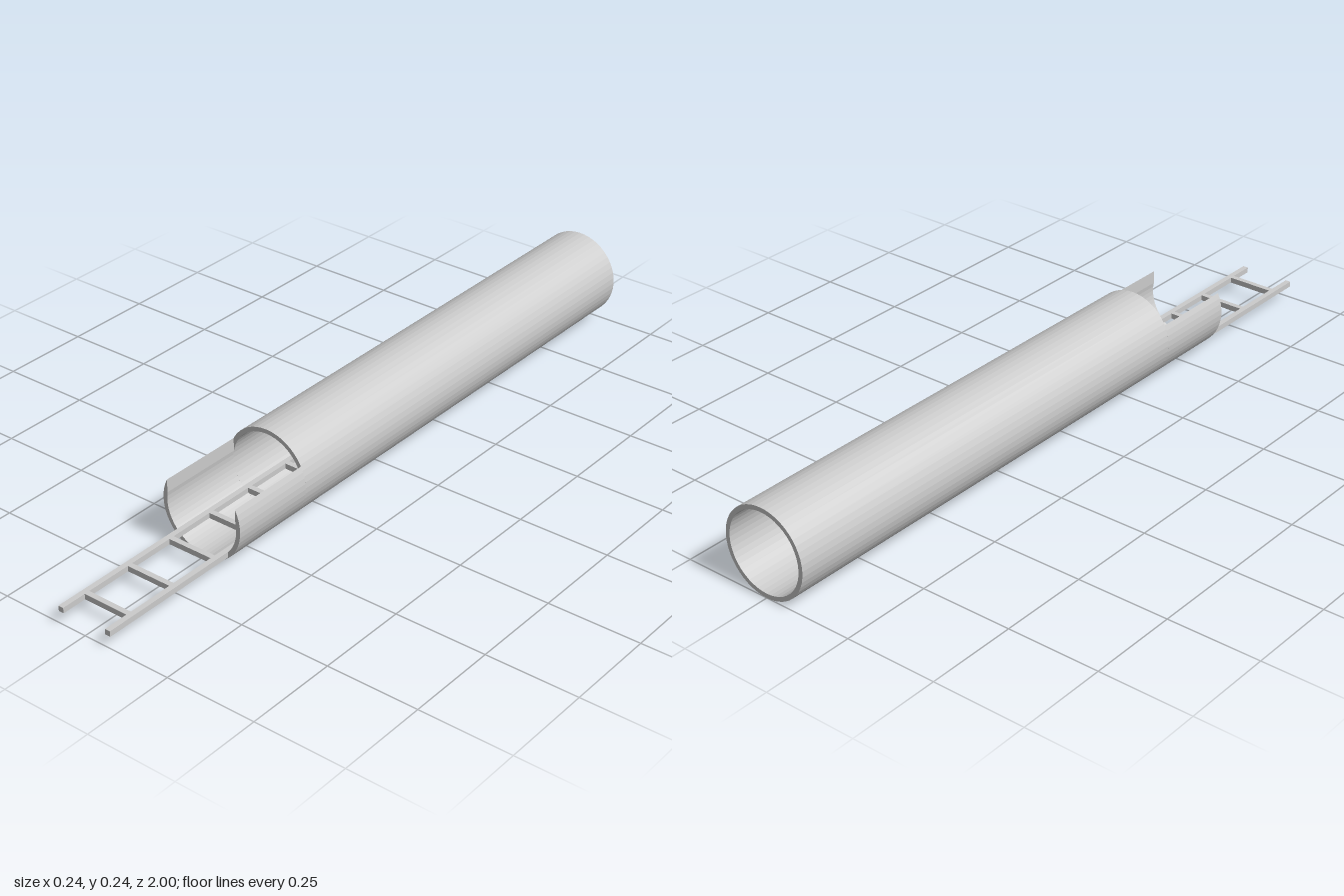
import * as THREE from 'three';

const material = new THREE.MeshStandardMaterial({ color: 0xcccccc, flatShading: true });

const R = 0.12;        // outer radius of the tube
const r = 0.108;       // inner radius
const BACK = -1, STEP = 0.36, MOUTH = 0.6;
const CUT = 0.106;     // half width of the opening in the top of the mouth

function add(parent, name, geometry, x = 0, y = 0, z = 0) {
  const mesh = new THREE.Mesh(geometry, material);
  mesh.name = name;
  mesh.position.set(x, y, z);
  parent.add(mesh);
  return mesh;
}

function extrude(shape, depth, curveSegments) {
  return new THREE.ExtrudeGeometry(shape, { depth, curveSegments, bevelEnabled: false });
}

export function createModel() {
  const group = new THREE.Group();
  group.name = 'launchTubeWithLadder';

  // Closed length of the tube
  const ring = new THREE.Shape().absarc(0, 0, R, 0, Math.PI * 2, false);
  ring.holes.push(new THREE.Path().absarc(0, 0, r, 0, Math.PI * 2, true));
  add(group, 'tube', extrude(ring, STEP - BACK, 24), 0, R, BACK);

  // Mouth with its top cut away, leaving thin vertical lips
  const a = Math.acos(CUT / R), b = Math.acos(CUT / r);
  const trough = new THREE.Shape();
  trough.absarc(0, 0, R, Math.PI - a, Math.PI * 2 + a, false);
  trough.absarc(0, 0, r, Math.PI * 2 + b, Math.PI - b, true);
  trough.closePath();
  add(group, 'openMouth', extrude(trough, MOUTH - STEP, 16), 0, R, STEP);

  // Ladder lying in the bottom of the tube and reaching out of the mouth
  const ladder = new THREE.Group();
  ladder.name = 'ladder';
  ladder.position.y = 0.0405;
  group.add(ladder);
  const bar = 0.015, length = 1, railX = 0.0725;
  for (const side of [-1, 1]) {
    add(ladder, side > 0 ? 'leftRail' : 'rightRail',
      new THREE.BoxGeometry(bar, bar, length), side * railX, 0, 1 - length / 2);
  }
  const rung = new THREE.BoxGeometry(railX * 2 - bar, bar, bar);
  for (let i = 0; i < 7; i++) add(ladder, 'rung', rung, 0, 0, 0.923 - i * 0.143);

  return group;
}
